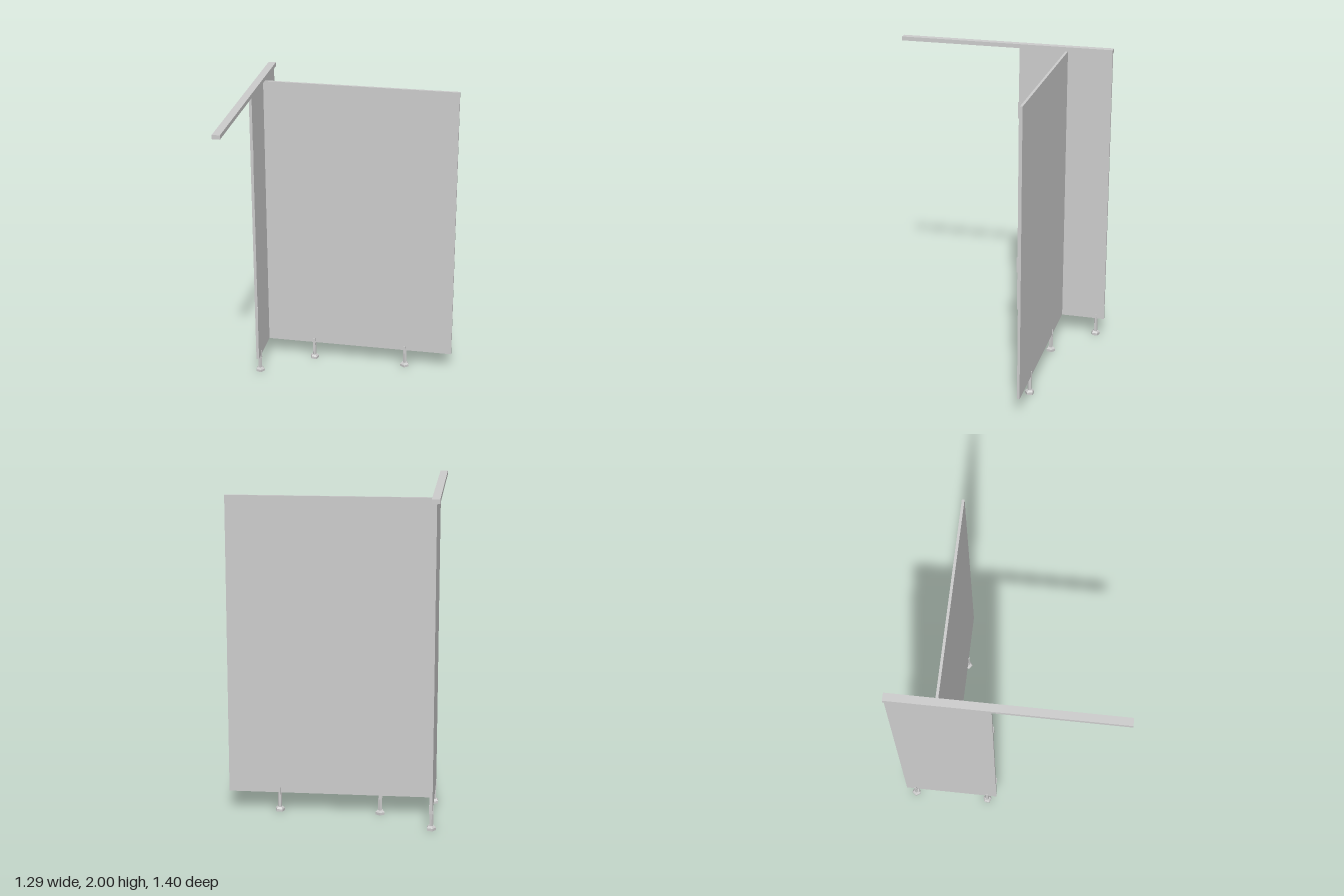
import * as THREE from 'three';

export function createModel() {
  const model = new THREE.Group();
  model.name = 'partition';
  const mat = new THREE.MeshStandardMaterial({ color: 0xcccccc, flatShading: true });

  const add = (parent, name, geometry) => {
    const mesh = new THREE.Mesh(geometry, mat);
    mesh.name = name;
    parent.add(mesh);
    return mesh;
  };
  // Box given by its lower and upper limits
  const box = (parent, name, [x0, x1], [y0, y1], [z0, z1]) =>
    add(parent, name, new THREE.BoxGeometry(x1 - x0, y1 - y0, z1 - z0))
      .position.set((x0 + x1) / 2, (y0 + y1) / 2, (z0 + z1) / 2);

  // Panels and the rail along the top
  box(model, 'widePanel', [-0.61, 0.645], [0.122, 1.97], [-0.408, -0.392]);
  box(model, 'sidePanel', [-0.628, -0.61], [0.122, 1.975], [-0.697, -0.09]);
  box(model, 'topRail', [-0.645, -0.597], [1.974, 2], [-0.698, 0.698]);

  // Five-sided feet with a forked clip holding the panel
  const footProfile = [
    [0, 0], [0.03, 0], [0.03, 0.016], [0.02, 0.027], [0.013, 0.027], [0.013, 0.132], [0, 0.132],
  ].map(([r, y]) => new THREE.Vector2(r, y));
  const footGeometry = new THREE.LatheGeometry(footProfile, 5);

  const addFoot = (x, z, turn, alongZ) => {
    const foot = new THREE.Group();
    foot.name = 'foot';
    foot.position.set(x, 0, z);
    add(foot, 'footPost', footGeometry).rotation.y = turn;
    const clip = new THREE.Group();
    clip.name = 'footClip';
    clip.rotation.y = alongZ ? Math.PI / 2 : 0;
    for (const s of [-1, 1]) {
      const a = s * 0.0085, b = s * 0.013;
      box(clip, 'clipJaw', [-0.007, 0.007], [0.1, 0.153], [Math.min(a, b), Math.max(a, b)]);
    }
    foot.add(clip);
    model.add(foot);
  };
  addFoot(-0.295, -0.399, Math.PI, false);
  addFoot(0.33, -0.399, 0, false);
  addFoot(-0.619, -0.155, Math.PI / 2, true);
  addFoot(-0.619, -0.64, -Math.PI / 2, true);

  // Thin rounded hinge leaves on the front edge of the side panel
  const leaf = new THREE.Shape();
  leaf.moveTo(0.006, -0.055);
  leaf.lineTo(0.006, 0.055);
  leaf.lineTo(-0.008, 0.055);
  leaf.quadraticCurveTo(-0.02, 0.05, -0.02, 0.035);
  leaf.lineTo(-0.02, -0.035);
  leaf.quadraticCurveTo(-0.02, -0.05, -0.008, -0.055);
  leaf.closePath();
  const leafGeometry = new THREE.ExtrudeGeometry(leaf, { depth: 0.004, bevelEnabled: false, curveSegments: 4 });
  leafGeometry.rotateY(-Math.PI / 2); // leaf width now runs along z
  for (const y of [0.455, 1.555]) {
    add(model, 'hinge', leafGeometry).position.set(-0.607, y, -0.09);
  }
  return model;
}
